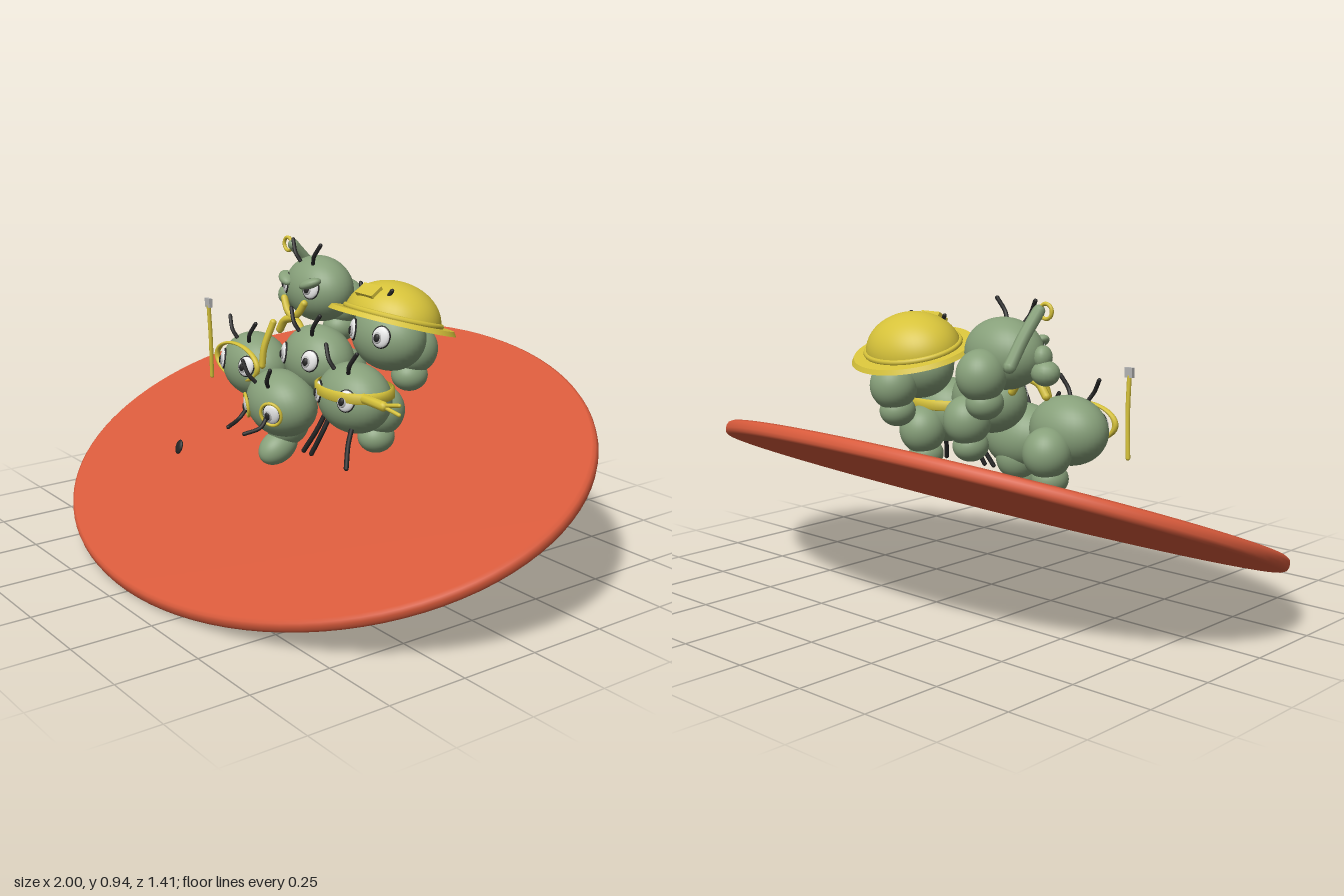
import * as THREE from 'three';

const mat = (name, color, double) => new THREE.MeshStandardMaterial({ name, color, side: double ? THREE.DoubleSide : THREE.FrontSide });

export function createModel() {
  const root = new THREE.Group();
  root.name = 'antTroop';
  const red = mat('terracotta', 0xd95b3c), green = mat('sage green', 0x87a07a);
  const yellow = mat('mustard yellow', 0xd6c23a, true), black = mat('black', 0x242424);
  const white = mat('eye white', 0xeeeeee), grey = mat('grey', 0xb4b4b4);

  const add = (parent, name, geo, material, pos = [0, 0, 0], rot = [0, 0, 0], scale = [1, 1, 1]) => {
    const m = new THREE.Mesh(geo, material);
    m.name = name;
    m.position.set(...pos);
    m.rotation.set(...rot);
    m.scale.set(...scale);
    parent.add(m);
    return m;
  };
  // Fine sphere for the bodies, lighter ones for small details and tube ends
  const bodySphere = new THREE.SphereGeometry(1, 36, 24);
  const detailSphere = new THREE.SphereGeometry(1, 18, 12);
  const endSphere = new THREE.SphereGeometry(1, 8, 6);
  const ball = (p, name, m, pos, scale, rot) => add(p, name, bodySphere, m, pos, rot, scale);
  const bead = (p, name, m, pos, scale, rot) => add(p, name, detailSphere, m, pos, rot, scale);
  const tube = (p, name, m, pts, r) => {
    const curve = new THREE.CatmullRomCurve3(pts.map(v => new THREE.Vector3(...v)));
    add(p, name, new THREE.TubeGeometry(curve, 10, r, 8), m);
    for (const end of [pts[0], pts[pts.length - 1]]) add(p, name + 'End', endSphere, m, end, [0, 0, 0], [r, r, r]);
  };

  // Tilted oval ground plate with a softened rim
  const rim = [[0, -0.022], [0.985, -0.022], [0.996, -0.016], [1, -0.006], [1, 0.006], [0.996, 0.016], [0.985, 0.022], [0, 0.022]];
  const plate = new THREE.LatheGeometry(rim.map(v => new THREE.Vector2(...v)), 96);
  add(root, 'groundPlate', plate, red, [0, 0.305, 0], [0.38, 0, 0], [1, 1, 0.755]);

  // One ant: broad head, body and abdomen behind, eyes and antennae
  function ant(name, pos, pitch = 0) {
    const g = new THREE.Group();
    g.name = name;
    g.position.set(...pos);
    root.add(g);
    const head = new THREE.Group();
    head.name = 'headGroup';
    head.rotation.x = pitch;
    g.add(head);
    ball(head, 'head', green, [0, 0, 0], [0.133, 0.107, 0.1]);
    for (const s of [-1, 1]) {
      const eye = new THREE.Group();
      eye.name = 'eye';
      eye.position.set(s * 0.067, 0.018, 0.083);
      eye.rotation.set(-0.15, s * 0.45, -s * 0.15);
      head.add(eye);
      bead(eye, 'eyeRim', black, [0, 0, -0.002], [0.031, 0.035, 0.008]);
      bead(eye, 'eyeWhite', white, [0, 0, 0], [0.028, 0.032, 0.011]);
      bead(eye, 'iris', grey, [-s * 0.007, -0.004, 0.008], [0.015, 0.018, 0.006]);
      bead(eye, 'pupil', black, [-s * 0.008, -0.004, 0.011], [0.01, 0.013, 0.006]);
      tube(head, 'antenna', black, [[s * 0.035, 0.09, 0.05], [s * 0.05, 0.115, 0.058], [s * 0.075, 0.155, 0.05]], 0.0065);
    }
    return { g, head };
  }
  function torso(g) {
    ball(g, 'thorax', green, [0, -0.055, -0.1], [0.075, 0.078, 0.075]);
    ball(g, 'abdomen', green, [0, -0.137, -0.085], [0.055, 0.05, 0.058]);
  }

  // Rear right ant: heavy lids, raised arm with ring, crossed scarf
  const rear = ant('scarfAnt', [-0.195, 0.79, -0.155]);
  torso(rear.g);
  for (const s of [-1, 1]) {
    bead(rear.head, 'eyelid', green, [s * 0.065, 0.034, 0.084], [0.04, 0.017, 0.026], [0, s * 0.45, s * 0.35]);
    tube(rear.g, 'scarf', yellow, [[s * 0.055, -0.03, 0.1], [s * 0.03, -0.065, 0.105], [0, -0.085, 0.105]], 0.012);
    tube(rear.g, 'scarfTail', yellow, [[0, -0.085, 0.105], [s * 0.04, -0.1, 0.11], [s * 0.068, -0.135, 0.11]], 0.013);
  }
  tube(rear.g, 'raisedArm', green, [[-0.11, -0.02, -0.1], [-0.11, 0.06, -0.04], [-0.11, 0.13, 0.025]], 0.019);
  add(rear.g, 'armRing', new THREE.TorusGeometry(0.022, 0.006, 8, 24), yellow, [-0.133, 0.13, 0.03]);
  bead(rear.g, 'fist', green, [-0.15, -0.045, 0.01], [0.045, 0.038, 0.04]);
  bead(rear.g, 'thumb', green, [-0.14, 0, 0.01], [0.027, 0.035, 0.03]);

  // Front right ant: face ring, scarf spike and staff
  const staffAnt = ant('staffAnt', [-0.285, 0.545, 0.035]);
  torso(staffAnt.g);
  add(staffAnt.g, 'faceRing', new THREE.TorusGeometry(0.119, 0.0095, 10, 56), yellow, [0, 0.02, 0.075], [0, 0, 0], [1, 0.49, 1]);
  tube(staffAnt.g, 'scarfSpike', yellow, [[0.125, 0.03, 0.06], [0.13, 0.09, 0.055], [0.145, 0.17, 0.03]], 0.011);
  tube(staffAnt.g, 'staff', yellow, [[-0.18, -0.07, 0.06], [-0.17, 0.06, 0.068], [-0.168, 0.175, 0.075]], 0.007);
  add(staffAnt.g, 'staffTip', new THREE.BoxGeometry(0.028, 0.03, 0.012), grey, [-0.168, 0.185, 0.075]);

  // Centre ant
  torso(ant('middleAnt', [0, 0.615, -0.01]).g);

  // Leading ant: head bowed forward, yellow eye rings
  const lead = ant('leadingAnt', [-0.03, 0.485, 0.11], 0.3);
  for (const s of [-1, 1]) {
    add(lead.head, 'eyeRing', new THREE.TorusGeometry(0.036, 0.005, 8, 28), yellow, [s * 0.067, 0.018, 0.085], [-0.15, s * 0.45, 0]);
    tube(lead.g, 'feeler', black, [[s * 0.055, -0.01, 0.09], [s * 0.06, -0.045, 0.12], [s * 0.045, -0.06, 0.17]], 0.0065);
  }
  ball(lead.g, 'thorax', green, [0, -0.065, -0.02], [0.07, 0.075, 0.07]);
  ball(lead.g, 'abdomen', green, [0, -0.14, 0.015], [0.052, 0.05, 0.07], [0.5, 0, 0]);

  // Front left ant: tied headband and thin legs
  const band = ant('headbandAnt', [0.237, 0.55, 0.03]);
  torso(band.g);
  const strip = [[0.128, -0.017], [0.139, -0.012], [0.139, 0.012], [0.128, 0.017]].map(v => new THREE.Vector2(...v));
  add(band.g, 'headband', new THREE.LatheGeometry(strip, 56), yellow, [0, 0.027, 0], [0, 0, 0], [1, 1, 0.78]);
  tube(band.g, 'bandTie', yellow, [[0.11, 0.03, 0.05], [0.16, 0.03, 0.052], [0.2, 0.028, 0.05]], 0.015);
  for (const s of [-1, 1]) tube(band.g, 'bandEnd', yellow, [[0.19, 0.028, 0.05], [0.225, 0.028 + s * 0.007, 0.045], [0.26, 0.028 + s * 0.014, 0.04]], 0.006);
  for (const [x, dx] of [[-0.085, -0.05], [-0.06, -0.035], [0.055, 0.025]]) {
    tube(band.g, 'leg', black, [[x, -0.07, 0.05], [x + dx * 0.3, -0.12, 0.07], [x + dx, -0.185, 0.09]], 0.0075);
  }

  // Rear left ant with a tilted wide-brimmed helmet
  const helmetAnt = ant('helmetAnt', [0.21, 0.715, -0.12]);
  torso(helmetAnt.g);
  const hat = new THREE.Group();
  hat.name = 'helmet';
  hat.position.set(0.21, 0.762, -0.133);
  hat.rotation.x = -0.28;
  root.add(hat);
  add(hat, 'brim', new THREE.CylinderGeometry(0.2, 0.21, 0.014, 64), yellow, [0, 0, 0], [0, 0, 0], [1, 1, 0.91]);
  add(hat, 'dome', new THREE.SphereGeometry(1, 48, 20, 0, Math.PI * 2, 0, Math.PI / 2), yellow, [0, 0, 0], [0, 0, 0], [0.165, 0.118, 0.137]);
  add(hat, 'hatBand', new THREE.TorusGeometry(0.163, 0.009, 8, 56), yellow, [0, 0.012, 0], [Math.PI / 2, 0, 0], [1, 0.84, 1]);
  add(hat, 'badge', new THREE.BoxGeometry(0.08, 0.045, 0.02), yellow, [-0.005, 0.068, 0.108], [-0.7, 0, 0]);

  // Small stray pebble in front
  bead(root, 'pebble', black, [-0.06, 0.4, 0.465], [0.016, 0.022, 0.007], [-0.35, 0, 0]);

  return root;
}
